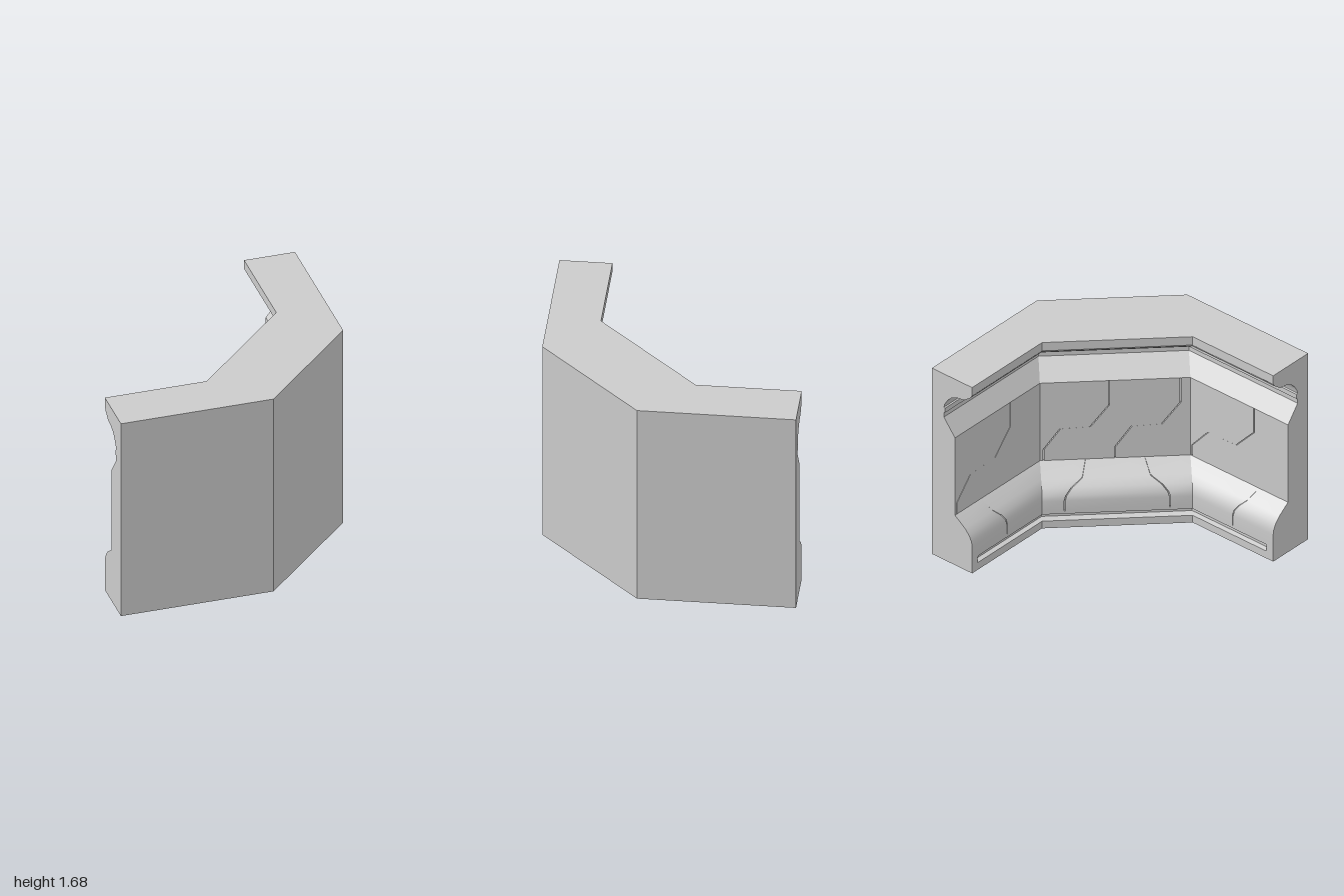
import * as THREE from 'three';
import { toCreasedNormals } from 'three/addons/utils/BufferGeometryUtils.js';

// Plan of the wall as [x, z] corners: outer faces and inner faces
const OUTER = [[1, -1], [1, 0.2], [0.2, 1], [-1, 1]];
const INNER = [[0.6, -1], [0.6, -0.2], [-0.2, 0.6], [-1, 0.6]];
const DEPTH = 0.4, HEIGHT = 1.68;
const material = new THREE.MeshStandardMaterial({ color: 0xcccccc });
const mix = (a, b, t) => a + (b - a) * t;

// Point on wall segment i, fraction s along it, w out from the outer face, height y
function at(i, s, w, y) {
  const p = [0, 1].map(k => mix(
    mix(OUTER[i][k], OUTER[i + 1][k], s),
    mix(INNER[i][k], INNER[i + 1][k], s), w / DEPTH));
  return [p[0], y, p[1]];
}

// Quad a-b-c-d, counter-clockwise from outside
function quad(out, a, b, c, d) {
  out.push(...a, ...b, ...c, ...a, ...c, ...d);
}

function makeMesh(name, positions, crease) {
  const geometry = new THREE.BufferGeometry();
  geometry.setAttribute('position', new THREE.Float32BufferAttribute(positions, 3));
  const mesh = new THREE.Mesh(toCreasedNormals(geometry, crease), material);
  mesh.name = name;
  return mesh;
}

// Wall cross-section; slot is 0 where the foot slot is closed, 1 where it is open
const profile = slot => [
  [0, 0], [0.4, 0],
  [0.4, 0.065], [0.4 - 0.035 * slot, 0.075], [0.4 - 0.035 * slot, 0.115], [0.4, 0.125],
  [0.4, 0.15], [0.388, 0.15], [0.388, 0.24], [0.383, 0.28], [0.358, 0.33], [0.318, 0.375],
  [0.218, 0.45], [0.218, 1.15], [0.23, 1.15],
  [0.12, 1.29], [0.12, 1.33], [0.132, 1.335], [0.132, 1.375], [0.12, 1.38],
  [0.128, 1.41], [0.155, 1.455], [0.195, 1.495], [0.25, 1.52], [0.32, 1.53],
  [0.38, 1.575], [0.4, 1.605], [0.4, HEIGHT], [0, HEIGHT],
];

// Main wall body swept along the bent path, with the slot stopping short of the ends
function createBody() {
  const stations = [
    [0, 0, 0], [0, 0.08, 0], [0, 0.1, 1], [1, 0, 1],
    [2, 0, 1], [2, 0.9, 1], [2, 0.92, 0], [2, 1, 0],
  ];
  const rings = stations.map(([i, s, slot]) => profile(slot).map(([w, y]) => at(i, s, w, y)));
  const out = [];
  const n = rings[0].length;
  for (let c = 0; c < rings.length - 1; c++) {
    for (let r = 0; r < n; r++) {
      const q = (r + 1) % n;
      quad(out, rings[c][r], rings[c + 1][r], rings[c + 1][q], rings[c][q]);
    }
  }
  // End caps
  const contour = profile(0).map(p => new THREE.Vector2(...p));
  const last = rings[rings.length - 1];
  for (const [a, b, c] of THREE.ShapeUtils.triangulateShape(contour, [])) {
    out.push(...rings[0][a], ...rings[0][b], ...rings[0][c]);
    out.push(...last[a], ...last[c], ...last[b]);
  }
  return makeMesh('wallBody', out, 0.4);
}

// Facing slab over rows of [w, y], between a left and a right seam
function createSlab(name, i, rows, left, right) {
  const thick = 0.014, out = [];
  const front = rows.map(([w, y], r) => [at(i, left[r], w, y), at(i, right[r], w, y)]);
  const back = rows.map(([w, y], r) => [at(i, left[r], w - thick, y), at(i, right[r], w - thick, y)]);
  const top = rows.length - 1;
  for (let r = 0; r < top; r++) {
    quad(out, front[r][0], front[r][1], front[r + 1][1], front[r + 1][0]);
    quad(out, back[r][0], front[r][0], front[r + 1][0], back[r + 1][0]);
    quad(out, front[r][1], back[r][1], back[r + 1][1], front[r + 1][1]);
  }
  quad(out, back[0][0], back[0][1], front[0][1], front[0][0]);
  quad(out, front[top][0], front[top][1], back[top][1], back[top][0]);
  return makeMesh(name, out, 0.6);
}

// A row of slabs across one segment, split by narrow gaps at the seams
function addSlabs(group, name, i, rows, seams) {
  const gap = 0.004;
  const edges = [rows.map(() => -gap), ...seams, rows.map(() => 1 + gap)];
  for (let k = 0; k < edges.length - 1; k++) {
    group.add(createSlab(name, i, rows, edges[k].map(s => s + gap), edges[k + 1].map(s => s - gap)));
  }
}

export function createModel() {
  const model = new THREE.Group();
  model.name = 'angledWall';
  model.add(createBody());

  // Flat panels with stepped diagonal seams
  const panelRows = [0.45, 0.55, 0.73, 0.74, 0.93, 1.15].map(y => [0.23, y]);
  const middleStep = [0, 0, 0.11, 0.31, 0.435, 0.435];
  const endSeam = [0.02, 0.02, 0.18, 0.47, 0.65, 0.65];
  const panels = new THREE.Group();
  panels.name = 'panels';
  addSlabs(panels, 'panel', 0, panelRows, [endSeam]);
  addSlabs(panels, 'panel', 1, panelRows, [0.025, 0.5].map(o => middleStep.map(s => s + o)));
  addSlabs(panels, 'panel', 2, panelRows, [endSeam]);

  // Rounded plinth facing with slanted seams
  const plinthRows = [[0.4, 0.15], [0.4, 0.24], [0.395, 0.28], [0.37, 0.33], [0.33, 0.375], [0.23, 0.45]];
  const middleCut = [0.15, 0.15, 0.16, 0.2, 0.27, 0.3];
  const endCut = [0.5, 0.5, 0.49, 0.44, 0.37, 0.3];
  const mirror = seam => seam.map(s => 1 - s);
  const plinth = new THREE.Group();
  plinth.name = 'plinth';
  addSlabs(plinth, 'plinthSlab', 0, plinthRows, [endCut]);
  addSlabs(plinth, 'plinthSlab', 1, plinthRows, [middleCut, mirror(middleCut)]);
  addSlabs(plinth, 'plinthSlab', 2, plinthRows, [mirror(endCut)]);

  model.add(panels, plinth);
  return model;
}
